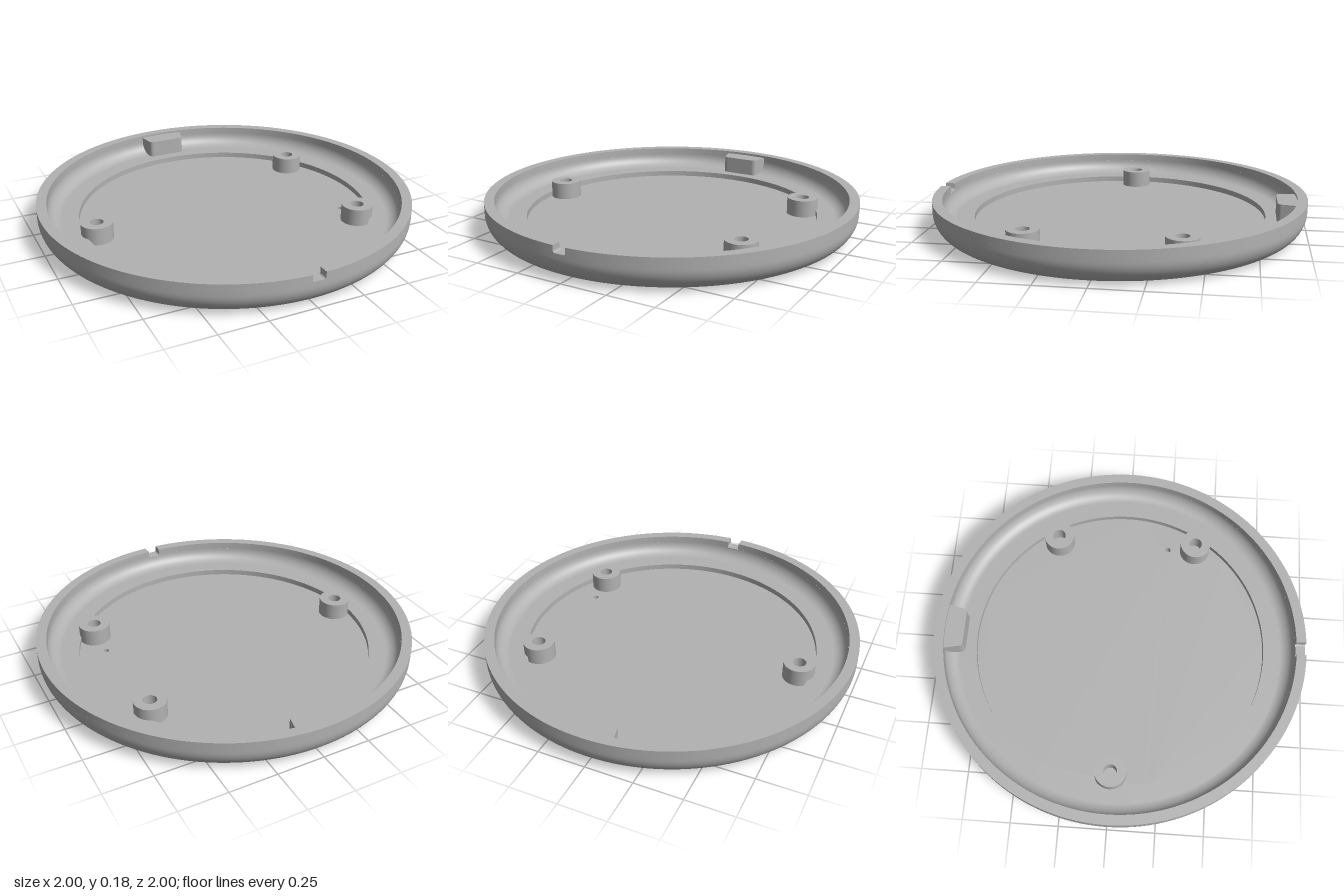
import * as THREE from 'three';

const HEIGHT = 0.18, RIM_IN = 0.947, FLOOR = 0.072, RECESS_Y = 0.042, RECESS_R = 0.785;
const NOTCH_Y = 0.143, NOTCH_W = 0.035;
const PIN = { x: 0.6, z: 0.235, r: 0.015 };

export function createModel() {
  const model = new THREE.Group();
  const grey = new THREE.MeshStandardMaterial({ color: 0xb2b2b2 });
  grey.name = 'grey plastic';

  const add = (name, geometry, parent = model) => {
    const mesh = new THREE.Mesh(geometry, grey);
    mesh.name = name;
    parent.add(mesh);
    return mesh;
  };
  const lathe = (points, segments = 144, start = 0, length = Math.PI * 2) =>
    new THREE.LatheGeometry(points.map(([x, y]) => new THREE.Vector2(x, y)), segments, start, length);
  // Quarter arc points of a profile
  const arc = (cx, cy, r, a0, a1, n = 14) => Array.from({ length: n + 1 }, (_, i) => {
    const a = a0 + (a1 - a0) * i / n;
    return [cx + r * Math.cos(a), cy + r * Math.sin(a)];
  });

  // Shell below the notch level
  const half = Math.PI / 2;
  add('outerWall', lathe([...arc(0.88, 0.12, 0.12, -half, 0), [1, NOTCH_Y]]));
  add('innerWall', lathe([...arc(RIM_IN - 0.07, FLOOR + 0.07, 0.07, 0, -half), [RECESS_R, FLOOR]]));
  add('recessWall', lathe([[RECESS_R, FLOOR], [RECESS_R, RECESS_Y]]));

  // Rim above, interrupted by the front notch
  const gap = Math.asin(NOTCH_W);
  const rim = new THREE.Group();
  rim.name = 'rim';
  model.add(rim);
  const rimPart = (name, a, b) => add(name, lathe([a, b], 144, gap, Math.PI * 2 - gap * 2), rim);
  rimPart('rimOutside', [1, NOTCH_Y], [1, HEIGHT]);
  rimPart('rimTop', [1, HEIGHT], [RIM_IN, HEIGHT]);
  rimPart('rimInside', [RIM_IN, HEIGHT], [RIM_IN, NOTCH_Y - 0.001]);

  // Notch floor, side faces and rounded lower corners
  add('notchFloor', lathe([[1, NOTCH_Y], [RIM_IN, NOTCH_Y]], 4, -gap, gap * 2), rim);
  for (const s of [-1, 1]) {
    const side = add('notchSide', new THREE.PlaneGeometry(1 - RIM_IN, HEIGHT - NOTCH_Y), rim);
    side.rotation.y = -s * half;
    side.position.set(s * NOTCH_W, (HEIGHT + NOTCH_Y) / 2, (1 + RIM_IN) / 2);
    const r = 0.012;
    const corner = new THREE.Shape();
    corner.moveTo(s * NOTCH_W, NOTCH_Y);
    corner.lineTo(s * NOTCH_W, NOTCH_Y + r);
    corner.quadraticCurveTo(s * NOTCH_W, NOTCH_Y, s * (NOTCH_W - r), NOTCH_Y);
    const fillet = new THREE.ExtrudeGeometry(corner, { depth: 0.051, bevelEnabled: false, curveSegments: 5 });
    add('notchCorner', fillet, rim).position.z = RIM_IN + 0.001;
  }

  // Flat floor and underside, both pierced by the pinhole
  const disc = (radius, zSign) => {
    const shape = new THREE.Shape().absarc(0, 0, radius, 0, Math.PI * 2);
    shape.holes.push(new THREE.Path().absarc(PIN.x, zSign * PIN.z, PIN.r, 0, Math.PI * 2, true));
    return new THREE.ShapeGeometry(shape, 72);
  };
  add('recessFloor', disc(RECESS_R, -1).rotateX(-half).translate(0, RECESS_Y, 0));
  add('underside', disc(0.88, 1).rotateX(half));
  add('pinhole', lathe([[PIN.r, RECESS_Y], [PIN.r, 0]], 24)).position.set(PIN.x, 0, PIN.z);

  // Three hollow screw bosses
  const bossTop = 0.133;
  for (const [x, z] of [[0.605, -0.387], [0.605, 0.387], [-0.72, 0]]) {
    const boss = new THREE.Group();
    boss.name = 'screwBoss';
    boss.position.set(x, 0, z);
    model.add(boss);
    const profile = [[0.083, RECESS_Y], [0.083, bossTop], [0.035, bossTop], [0.035, RECESS_Y + 0.002], [0, RECESS_Y + 0.002]];
    const names = ['bossOutside', 'bossTop', 'bossBore', 'bossBoreFloor'];
    names.forEach((name, i) => add(name, lathe([profile[i], profile[i + 1]], 48), boss));
  }

  // Tapered block against the rear wall
  const block = new THREE.Shape();
  block.moveTo(0.128, 0.955);
  block.lineTo(-0.128, 0.955);
  block.lineTo(-0.109, 0.865);
  block.quadraticCurveTo(-0.105, 0.842, -0.082, 0.842);
  block.lineTo(0.082, 0.842);
  block.quadraticCurveTo(0.105, 0.842, 0.109, 0.865);
  block.closePath();
  const blockGeo = new THREE.ExtrudeGeometry(block, { depth: 0.102, bevelEnabled: false, curveSegments: 8 });
  add('rearBlock', blockGeo.rotateX(-half).translate(0, 0.065, 0));

  return model;
}
